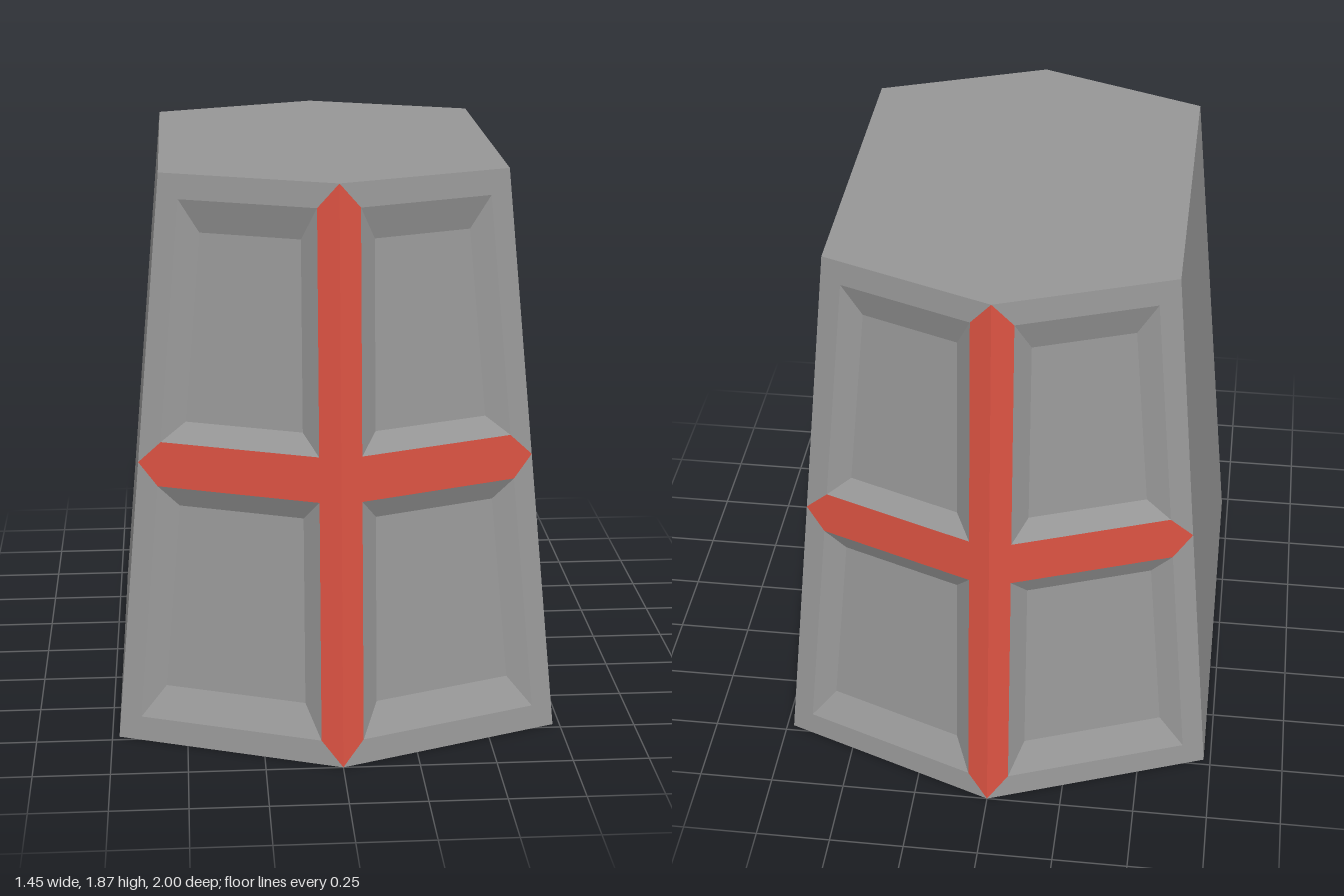
import * as THREE from 'three';

const H = 1.87, MID = H / 2, TOP = 0.77; // height, cross bar height, top scale
const BAR = 0.073, BORDER = 0.08;        // half width of the bars, rim border
const INSET = 0.066;                     // run of the recess walls beside the bars

// Recess depth and run of the top and bottom walls
const ANGLED = { depth: 0.04, endInset: 0.105 };
const SIDE = { depth: 0.034, endInset: 0.08 };

const V = (x, y, z) => new THREE.Vector3(x, y, z);

// Flat polygons (fans), each wound to face along its outward direction
function facets(name, material, polygons) {
  const pos = [];
  for (const { points, out } of polygons) {
    const n = V(0, 0, 0);
    for (let i = 1; i < points.length - 1; i++) {
      n.add(points[i].clone().sub(points[0]).cross(points[i + 1].clone().sub(points[0])));
    }
    const p = n.dot(out) < 0 ? [...points].reverse() : points;
    for (let i = 1; i < p.length - 1; i++) {
      for (const v of [p[0], p[i], p[i + 1]]) pos.push(v.x, v.y, v.z);
    }
  }
  const geometry = new THREE.BufferGeometry();
  geometry.setAttribute('position', new THREE.Float32BufferAttribute(pos, 3));
  geometry.computeVertexNormals();
  const mesh = new THREE.Mesh(geometry, material);
  mesh.name = name;
  return mesh;
}

// Half of a panelled face, from its centre line to a corner edge of the body
function halfPanel(name, inner, outer, { depth, endInset }, grey, red) {
  const at = ([x, z], y) => {
    const s = 1 - (1 - TOP) * y / H;
    return V(x * s, y, z * s);
  };
  const out = at(outer, 0).sub(at(inner, 0)).cross(at(inner, H).sub(at(inner, 0))).normalize();
  if (out.dot(at(inner, 0).add(at(outer, 0))) < 0) out.negate();

  // Point at height y, a distance from one edge towards the other, sunk into the face
  const along = (from, to, y, d, sink) => {
    const a = at(from, y), b = at(to, y);
    return a.addScaledVector(b.sub(a).normalize(), d).addScaledVector(out, -sink);
  };
  const fromCentre = (y, d, sink = 0) => along(inner, outer, y, d, sink);
  const fromCorner = (y, d, sink = 0) => along(outer, inner, y, d, sink);
  const body = [], cross = [];
  const add = (list, ...points) => list.push({ points, out });

  // Lower and upper quarter: border strips, sloping walls and sunken floor
  for (const dir of [-1, 1]) {
    const end = MID + dir * MID, rimEnd = end - dir * BORDER, rimMid = MID + dir * BAR;
    add(body, fromCentre(end, 0), fromCentre(rimEnd, BAR), fromCorner(rimEnd, BAR), fromCorner(end, 0));
    add(body, fromCorner(end, 0), fromCorner(rimEnd, BAR), fromCorner(rimMid, BAR), fromCorner(MID, 0));
    const ring = (inset, endRun, sink) => [
      fromCentre(rimMid + dir * inset, BAR + inset, sink),
      fromCorner(rimMid + dir * inset, BAR + inset, sink),
      fromCorner(rimEnd - dir * endRun, BAR + inset, sink),
      fromCentre(rimEnd - dir * endRun, BAR + inset, sink),
    ];
    const rim = ring(0, 0, 0), floor = ring(INSET, endInset, depth);
    add(body, ...floor);
    for (let i = 0; i < 4; i++) {
      const j = (i + 1) % 4;
      add(body, rim[i], rim[j], floor[j], floor[i]);
    }
  }

  // Pointed half bars of the cross
  add(cross, fromCentre(0, 0), fromCentre(BORDER, BAR), fromCentre(H - BORDER, BAR), fromCentre(H, 0));
  add(cross, fromCentre(MID - BAR, BAR), fromCorner(MID - BAR, BAR), fromCorner(MID, 0),
    fromCorner(MID + BAR, BAR), fromCentre(MID + BAR, BAR));

  const group = new THREE.Group();
  group.name = name;
  group.add(facets('recessedPanels', grey, body), facets('crossBars', red, cross));
  return group;
}

export function createModel() {
  const model = new THREE.Group();
  model.name = 'taperedHexagonalBlock';
  const grey = new THREE.MeshStandardMaterial({ color: 0x969696, flatShading: true });
  const red = new THREE.MeshStandardMaterial({ color: 0xd55040, flatShading: true });
  const W = 0.727;

  // Panelled faces: front, back and left
  for (const s of [-1, 1]) {
    const side = s > 0 ? 'Left' : 'Right';
    model.add(halfPanel('front' + side, [0, 1], [s * W, W], ANGLED, grey, red));
    model.add(halfPanel('back' + side, [0, -1], [s * W, -W], ANGLED, grey, red));
    model.add(halfPanel(s > 0 ? 'leftSideFront' : 'leftSideBack', [W, 0], [W, s * W], SIDE, grey, red));
  }

  // Plain right face
  const T = W * TOP;
  model.add(facets('plainSide', grey, [{
    points: [V(-W, 0, -W), V(-W, 0, W), V(-T, H, T), V(-T, H, -T)], out: V(-1, 0, 0),
  }]));

  // Top and bottom caps
  const hexagon = [[0, 1], [W, W], [W, -W], [0, -1], [-W, -W], [-W, W]];
  const cap = (y, s) => hexagon.map(([x, z]) => V(x * s, y, z * s));
  model.add(facets('topCap', grey, [{ points: cap(H, TOP), out: V(0, 1, 0) }]));
  model.add(facets('bottomCap', grey, [{ points: cap(0, 1), out: V(0, -1, 0) }]));
  return model;
}
